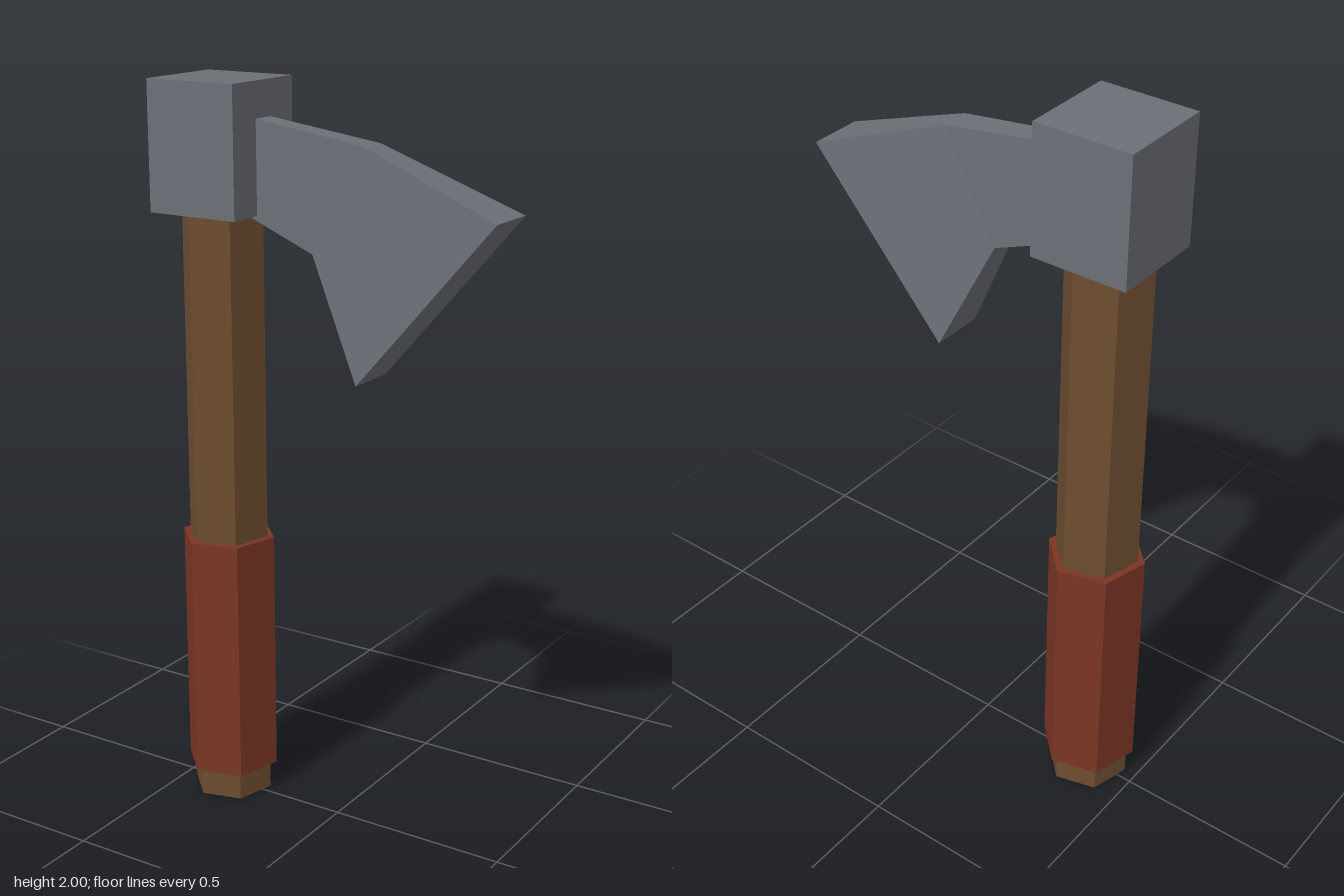
import * as THREE from 'three';

const mat = (name, color) => new THREE.MeshStandardMaterial({ name, color, flatShading: true });

export function createModel() {
  const axe = new THREE.Group();
  axe.name = 'axe';
  const steel = mat('steel', 0x6c6f77);
  const wood = mat('wood', 0x6d4d30);
  const leather = mat('leather', 0x7a3524);
  const shaftX = -0.355;

  const add = (name, geometry, material, x = 0, y = 0) => {
    const mesh = new THREE.Mesh(geometry, material);
    mesh.name = name;
    mesh.position.set(x, y, 0);
    axe.add(mesh);
  };

  // Hexagonal shaft pieces, turned so one corner points to front left
  const hexPart = (name, radius, bottom, top, material) =>
    add(name, new THREE.CylinderGeometry(radius, radius, top - bottom, 6, 1, false, Math.PI / 4)
      .toNonIndexed(), material, shaftX, (bottom + top) / 2);
  hexPart('handle', 0.113, 0, 1.7, wood);
  hexPart('gripWrap', 0.132, 0.08, 0.765, leather);

  // Square head block
  add('headBlock', new THREE.BoxGeometry(0.265, 0.34, 0.265), steel, shaftX, 1.83);

  // Blade: three rectangular sections from root to edge,
  // each [top x, top y, bottom x, bottom y, half thickness]
  const sections = [
    [-0.26, 1.911, -0.26, 1.662, 0.032],
    [0.1, 1.86, -0.05, 1.58, 0.04],
    [0.485, 1.712, 0.1, 1.266, 0.074],
  ].map(([tx, ty, bx, by, h]) => [[tx, ty, h], [tx, ty, -h], [bx, by, -h], [bx, by, h]]);

  const points = [];
  const quad = (a, b, c, d) => points.push(...a, ...b, ...c, ...a, ...c, ...d);
  for (let s = 0; s < 2; s++) {
    const a = sections[s], b = sections[s + 1];
    for (let i = 0; i < 4; i++) {
      const j = (i + 1) % 4;
      quad(a[i], b[i], b[j], a[j]);
    }
  }
  quad(...sections[0]);
  quad(...[...sections[2]].reverse());
  const blade = new THREE.BufferGeometry();
  blade.setAttribute('position', new THREE.Float32BufferAttribute(points, 3));
  blade.computeVertexNormals();
  add('blade', blade, steel);

  return axe;
}
